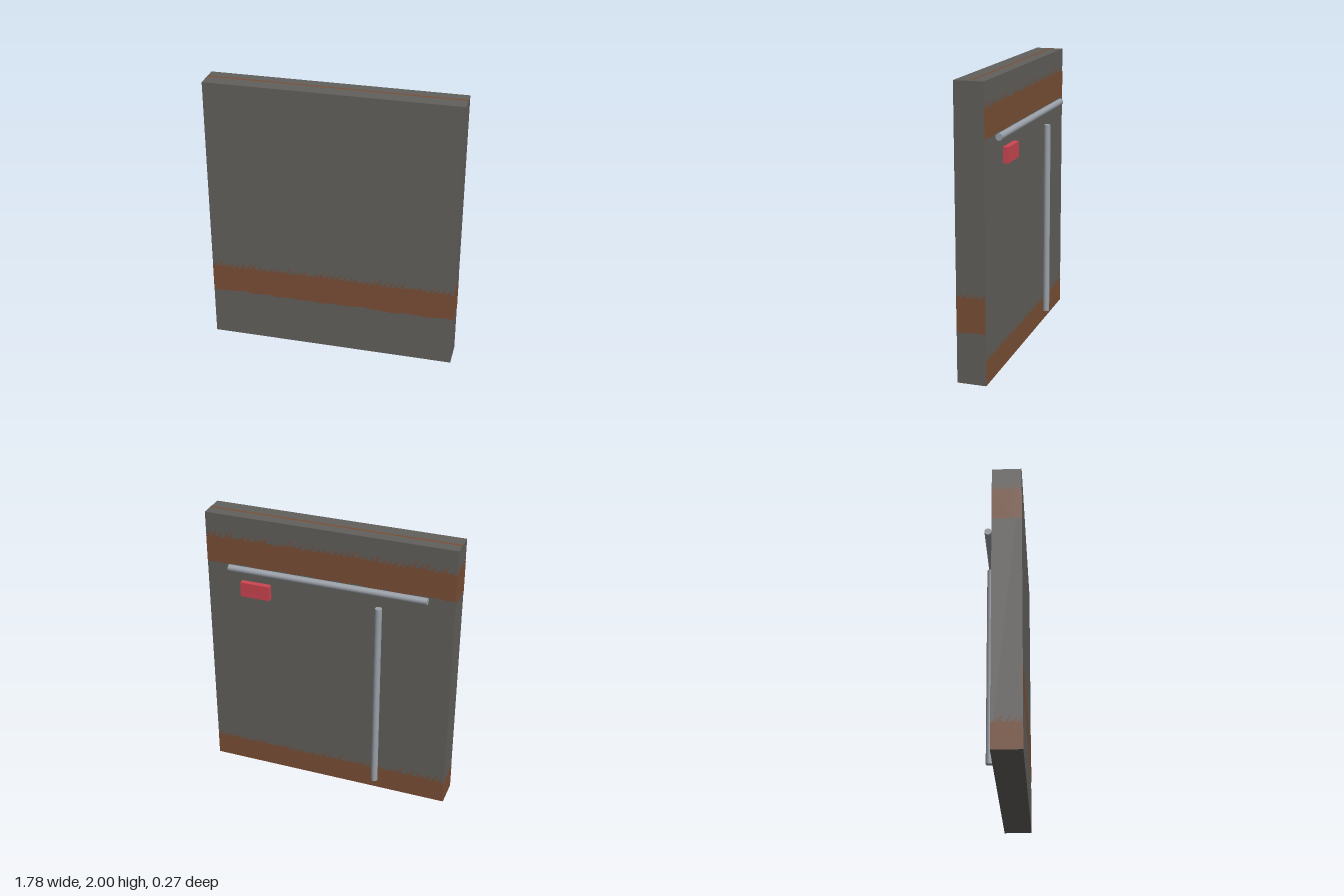
import * as THREE from 'three';

const W = 1.775, H = 2, D = 0.2, ZC = 0.035; // slab size and centre depth

// small seeded generator for the ragged rust edges
function seeded(seed) {
  let s = seed;
  return () => (s = (s * 16807) % 2147483647) / 2147483647;
}

// flat rust strip: wavy lower edge, slanted streaks along the upper edge
function rustGeometry(width, bottom, top, seed) {
  const rnd = seeded(seed), half = width / 2, step = 0.042;
  const shape = new THREE.Shape();
  const clampX = (x) => Math.min(x, half);
  shape.moveTo(-half, top);
  for (let x = -half; x < half - 0.03; x += step) {
    const base = top - 0.005 + rnd() * 0.015;
    shape.lineTo(x, base);
    shape.lineTo(clampX(x + 0.045), base + 0.02 + rnd() * 0.04);
    shape.lineTo(clampX(x + 0.022), base);
  }
  shape.lineTo(half, top);
  if (bottom > 0) {
    const n = Math.max(3, Math.round(width / 0.06));
    for (let i = 0; i <= n; i++) shape.lineTo(half - (width * i) / n, bottom - 0.01 + rnd() * 0.02);
  } else {
    shape.lineTo(half, 0);
    shape.lineTo(-half, 0);
  }
  return new THREE.ShapeGeometry(shape);
}

export function createModel() {
  const model = new THREE.Group();
  model.name = 'doorSlab';

  const material = (name, color) => {
    const m = new THREE.MeshStandardMaterial({ color });
    m.name = name;
    return m;
  };
  const darkMetal = material('darkMetal', 0x62605c);
  const rust = material('rust', 0x7a4f36);
  const steel = material('steel', 0x9aa0a8);
  const red = material('red', 0xcc4650);

  const add = (name, geometry, mat, x, y, z) => {
    const mesh = new THREE.Mesh(geometry, mat);
    mesh.name = name;
    mesh.position.set(x, y, z);
    model.add(mesh);
    return mesh;
  };

  // main slab
  add('slab', new THREE.BoxGeometry(W, H, D), darkMetal, 0, H / 2, ZC);

  // rust strips: name, width, bottom, top, x, z, turn about y
  const gap = 0.0015, sideX = W / 2 + gap, backZ = ZC - D / 2 - gap;
  const strips = [
    ['frontRust', W, 0.37, 0.575, 0, ZC + D / 2 + gap, 0],
    ['leftSideRust', D, 0.36, 0.595, sideX, ZC, Math.PI / 2],
    ['backUpperRust', W, 1.64, 1.83, 0, backZ, Math.PI],
    ['backLowerRust', W, 0, 0.165, 0, backZ, Math.PI],
    ['rightSideUpperRust', D, 1.62, 1.84, -sideX, ZC, -Math.PI / 2],
    ['rightSideLowerRust', D, 0, 0.175, -sideX, ZC, -Math.PI / 2],
  ];
  strips.forEach(([name, width, bottom, top, x, z, turn], i) => {
    add(name, rustGeometry(width, bottom, top, 1234 + i * 777), rust, x, 0, z).rotation.y = turn;
  });

  // thin rust line on the top face
  add('topRust', new THREE.PlaneGeometry(W, 0.02), rust, 0, H + gap, 0.024).rotation.x = -Math.PI / 2;

  // rods and red block behind the slab
  const rod = new THREE.CylinderGeometry(0.024, 0.024, 1.42, 16);
  add('horizontalRod', rod, steel, 0, 1.625, -0.1).rotation.z = Math.PI / 2;
  add('verticalRod', rod, steel, -0.375, 0.8, -0.1);
  add('redBlock', new THREE.BoxGeometry(0.213, 0.107, 0.039), red, 0.508, 1.49, -0.1155);

  return model;
}
